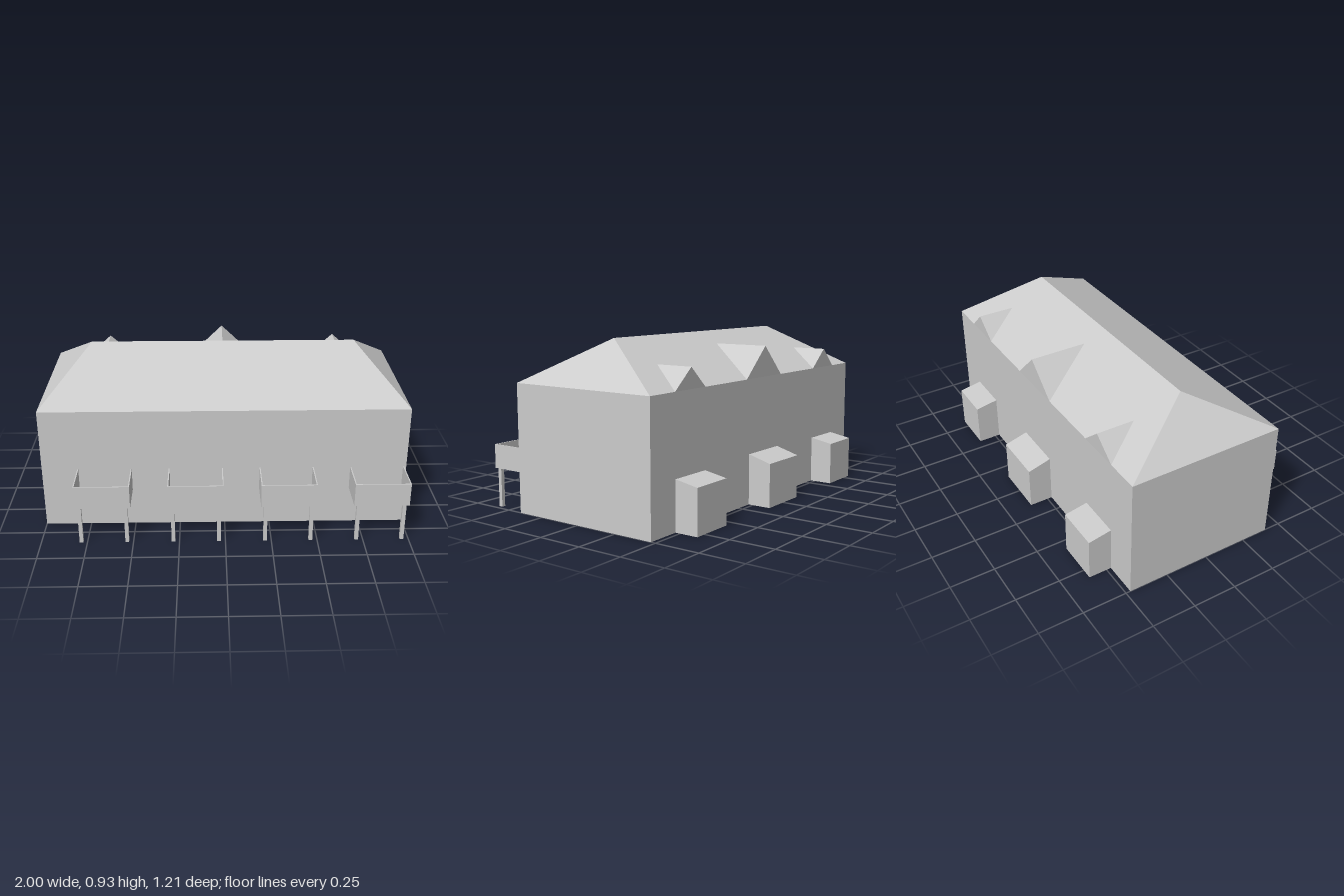
import * as THREE from 'three';

const material = new THREE.MeshStandardMaterial({
  color: 0xcccccc, flatShading: true, side: THREE.DoubleSide,
});

// Mesh from flat convex faces, each a list of [x, y, z] corners, anticlockwise from outside
function faceMesh(name, faces) {
  const positions = [];
  for (const f of faces) {
    for (let i = 1; i < f.length - 1; i++) positions.push(...f[0], ...f[i], ...f[i + 1]);
  }
  const geometry = new THREE.BufferGeometry();
  geometry.setAttribute('position', new THREE.Float32BufferAttribute(positions, 3));
  geometry.computeVertexNormals();
  const mesh = new THREE.Mesh(geometry, material);
  mesh.name = name;
  return mesh;
}

// Box given by its minimum and maximum corners
function boxMesh(name, [x0, y0, z0], [x1, y1, z1]) {
  const mesh = new THREE.Mesh(new THREE.BoxGeometry(x1 - x0, y1 - y0, z1 - z0), material);
  mesh.position.set((x0 + x1) / 2, (y0 + y1) / 2, (z0 + z1) / 2);
  mesh.name = name;
  return mesh;
}

const FRONT = 0.407, BACK = -0.474, EAVE = 0.69;
const RIDGE_Y = 0.925, RIDGE_Z = -0.033, RIDGE_X = 0.74;

// Four walls, open underneath
function createWalls() {
  const plan = [[-1, FRONT], [1, FRONT], [1, BACK], [-1, BACK]];
  return faceMesh('walls', plan.map(([x, z], i) => {
    const [u, w] = plan[(i + 1) % 4];
    return [[x, 0, z], [u, 0, w], [u, EAVE, w], [x, EAVE, z]];
  }));
}

// Hipped roof with a long ridge
function createRoof() {
  const a = [-1, EAVE, FRONT], b = [1, EAVE, FRONT], c = [1, EAVE, BACK], d = [-1, EAVE, BACK];
  const l = [RIDGE_X, RIDGE_Y, RIDGE_Z], r = [-RIDGE_X, RIDGE_Y, RIDGE_Z];
  return faceMesh('hippedRoof', [[a, b, l, r], [b, c, l], [c, d, r, l], [d, a, r]]);
}

// Gable dormer flush with the back wall, running into the roof slope
function createDormer(x, half, top) {
  const slope = (RIDGE_Y - EAVE) / (RIDGE_Z - BACK);
  const p = [x + half, EAVE, BACK], q = [x - half, EAVE, BACK];
  const apex = [x, top, BACK - 0.005], inner = [x, top, BACK + (top - EAVE) / slope];
  return faceMesh('dormer', [[p, q, apex], [p, apex, inner], [q, inner, apex]]);
}

// Lean-to at the back: three walls and a sloping top
function createLeanTo(x, half, topWall, topOuter, z) {
  const l = x + half, r = x - half;
  return faceMesh('rearLeanTo', [
    [[l, 0, z], [r, 0, z], [r, topOuter, z], [l, topOuter, z]],
    [[l, 0, BACK], [l, 0, z], [l, topOuter, z], [l, topWall, BACK]],
    [[r, 0, z], [r, 0, BACK], [r, topWall, BACK], [r, topOuter, z]],
    [[l, topOuter, z], [r, topOuter, z], [r, topWall, BACK], [l, topWall, BACK]],
  ]);
}

// Balcony with a floor, solid parapets and two posts
function createBalcony(x) {
  const group = new THREE.Group();
  group.name = 'balcony';
  const half = 0.149, z = 0.606, y0 = 0.215, y1 = 0.345, t = 0.006;
  group.add(boxMesh('balconyFloor', [-half, y0, FRONT], [half, y0 + t, z]));
  group.add(boxMesh('frontParapet', [-half, y0, z - t], [half, y1, z]));
  for (const s of [-1, 1]) {
    const px = s * (half - t / 2), lx = s * 0.124;
    group.add(boxMesh('sideParapet', [px - t / 2, y0, FRONT], [px + t / 2, y1, z - t]));
    group.add(boxMesh('post', [lx - 0.01, 0, 0.58], [lx + 0.01, y0, 0.602]));
  }
  group.position.x = x;
  return group;
}

export function createModel() {
  const model = new THREE.Group();
  model.name = 'house';
  model.add(createWalls(), createRoof());

  // Large middle dormer and lean-to, smaller pair either side
  model.add(createDormer(0, 0.178, 0.86), createLeanTo(0, 0.148, 0.28, 0.242, -0.606));
  for (const x of [-0.685, 0.685]) {
    model.add(createDormer(x, 0.125, 0.8), createLeanTo(x, 0.124, 0.266, 0.242, -0.604));
  }

  // Row of front balconies
  for (let i = 0; i < 4; i++) model.add(createBalcony(-0.658 + i * 0.499));
  return model;
}
